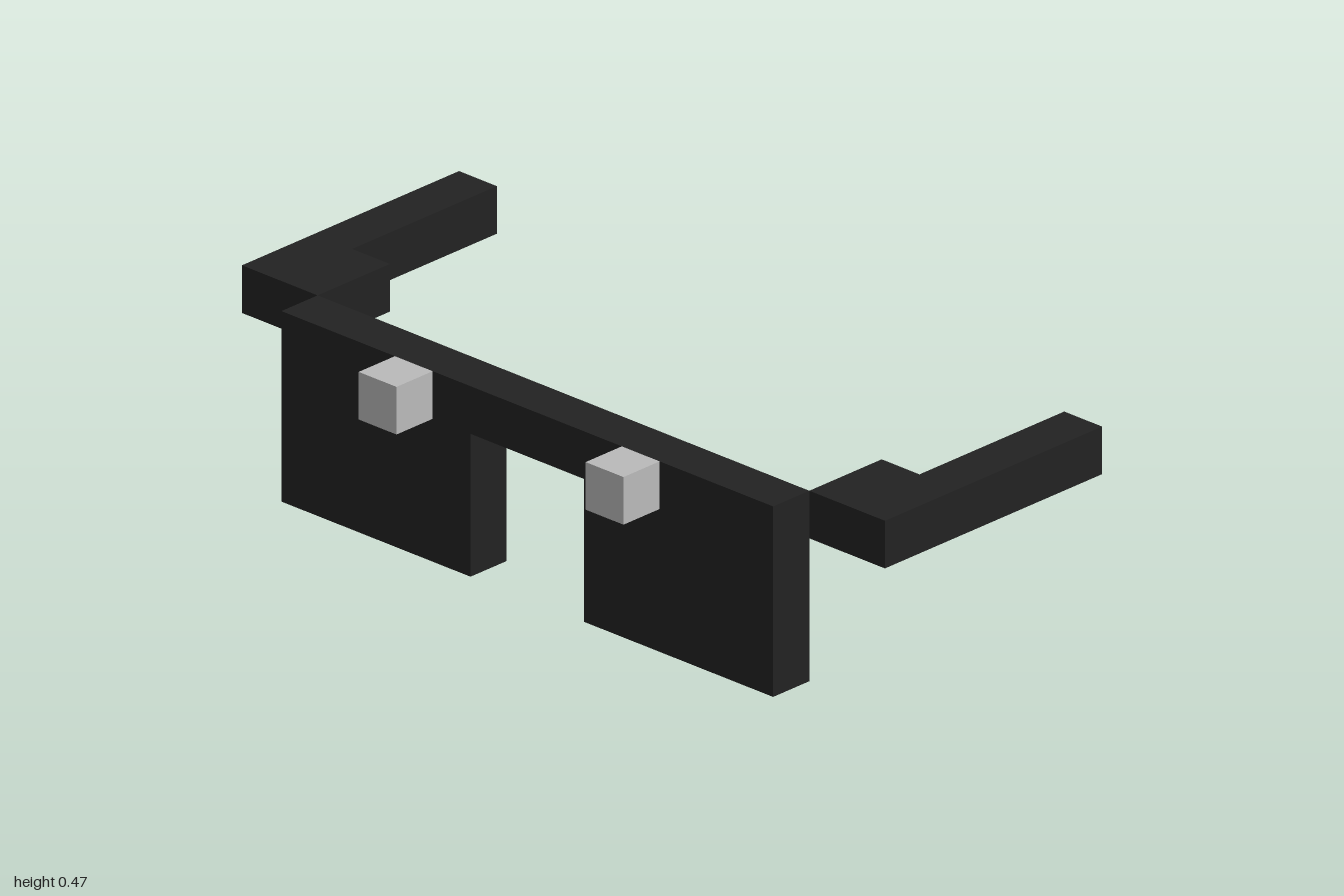
import * as THREE from 'three';

const U = 2 / 17; // block unit: the model is 17 blocks wide

export function createModel() {
  const model = new THREE.Group();
  model.name = 'blockGlasses';
  const black = new THREE.MeshStandardMaterial({ color: 0x222222 });
  black.name = 'black';
  const grey = new THREE.MeshStandardMaterial({ color: 0xbababa });
  grey.name = 'light grey';

  // Extrude an outline given in block units, flat shaded
  const slab = (name, points, depth) => {
    const shape = new THREE.Shape(points.map(([x, y]) => new THREE.Vector2(x * U, y * U)));
    const geometry = new THREE.ExtrudeGeometry(shape, { depth: depth * U, bevelEnabled: false });
    const mesh = new THREE.Mesh(geometry, black);
    mesh.name = name;
    model.add(mesh);
    return mesh;
  };

  // Front frame: two lenses joined by the bridge
  const frame = slab('lensFrame', [
    [-6.5, 0], [-1.5, 0], [-1.5, 3], [1.5, 3], [1.5, 0], [6.5, 0], [6.5, 4], [-6.5, 4],
  ], 1);
  frame.position.z = 2 * U;

  for (const [side, s] of [['left', 1], ['right', -1]]) {
    // Stepped temple arm, outlined in plan (x, -z) and laid flat
    const outline = [[6.5, -2], [8.5, -2], [8.5, 4], [7.5, 4], [7.5, 0], [6.5, 0]];
    const arm = slab(side + 'Temple', outline.map(([x, y]) => [s * x, y]), 1);
    arm.rotation.x = -Math.PI / 2;
    arm.position.y = 3 * U;

    // Glint cube on the front of the lens
    const glint = new THREE.Mesh(new THREE.BoxGeometry(U, U, U), grey);
    glint.name = side + 'Glint';
    glint.position.set(s * 3 * U, 3.5 * U, 3.5 * U);
    model.add(glint);
  }
  return model;
}
